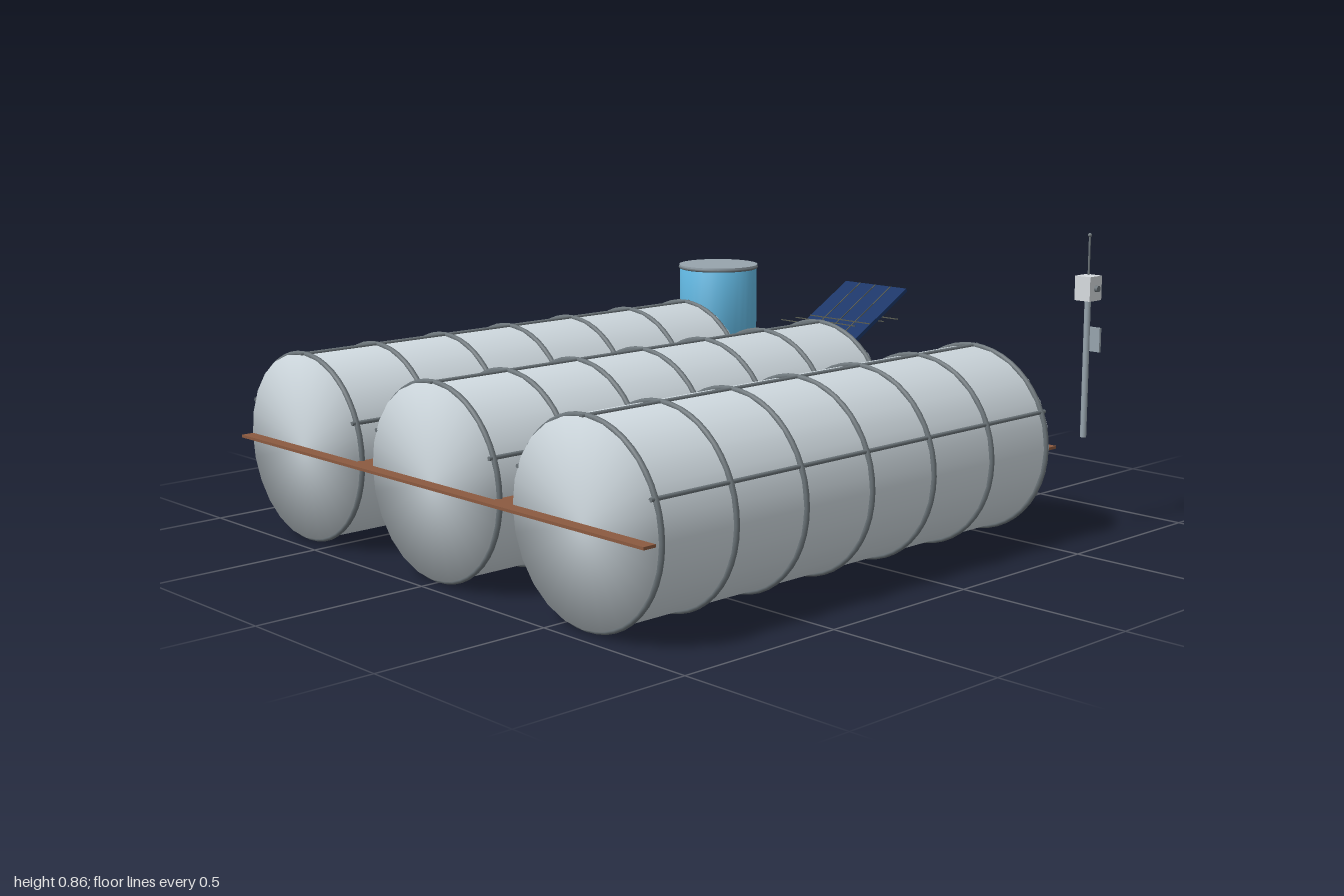
import * as THREE from 'three';
import { mergeVertices } from 'three/addons/utils/BufferGeometryUtils.js';

const paint = (name, color) => {
  const m = new THREE.MeshStandardMaterial({ color });
  m.name = name;
  return m;
};

// Share normals across the rims so that caps shade softly
const soften = (geo) => {
  geo.deleteAttribute('uv');
  geo.deleteAttribute('normal');
  const merged = mergeVertices(geo, 1e-4);
  merged.computeVertexNormals();
  return merged;
};

export function createModel() {
  const shell = paint('pale steel', 0xd0dae0);
  const frame = paint('dark steel', 0x6c757a);
  const wood = paint('brown deck', 0x8b5a40);
  const grey = paint('mid grey', 0x97a4ad);
  const blue = paint('tank blue', 0x62b8e2);
  const navy = paint('solar navy', 0x1b3668);
  const wire = paint('cell lines', 0x585b50);
  const white = paint('housing white', 0xd6dbdf);

  const model = new THREE.Group();
  model.name = 'habitat';

  const add = (parent, name, geo, mat, x = 0, y = 0, z = 0) => {
    const m = new THREE.Mesh(geo, mat);
    m.name = name;
    m.position.set(x, y, z);
    parent.add(m);
    return m;
  };
  const group = (name, x, y, z) => {
    const g = new THREE.Group();
    g.name = name;
    g.position.set(x, y, z);
    model.add(g);
    return g;
  };
  const box = (w, h, d) => new THREE.BoxGeometry(w, h, d);
  const rod = (r, h, n = 12) => new THREE.CylinderGeometry(r, r, h, n);

  // Three lying modules with hoops, long ribs and an end door
  const X0 = -0.962, X1 = 0.537, R = 0.263;
  const bodyGeo = soften(rod(R, X1 - X0, 24).rotateZ(Math.PI / 2));
  const hoopGeo = new THREE.TorusGeometry(0.264, 0.008, 8, 48).rotateY(Math.PI / 2);
  const ribGeo = rod(0.006, X1 - X0, 8).rotateZ(Math.PI / 2);
  for (const z of [-0.598, 0.002, 0.602]) {
    const unit = group('module', 0, 0.272, z);
    add(unit, 'moduleShell', bodyGeo, shell, (X0 + X1) / 2);
    for (let i = 0; i < 7; i++) add(unit, 'hoop', hoopGeo, frame, -0.946 + i * 0.2445);
    for (const deg of [23, 90, 157]) {
      const a = THREE.MathUtils.degToRad(deg);
      add(unit, 'rib', ribGeo, frame, (X0 + X1) / 2, Math.sin(a) * 0.264, Math.cos(a) * 0.264);
    }
    add(unit, 'door', box(0.02, 0.24, 0.184), grey, 0.532, 0.118, 0.006);
  }

  // Thin deck joining the modules
  add(model, 'deck', box(1.573, 0.008, 1.722), wood, -0.2135, 0.27, 0.002);

  // Water tank with hoops, lid and feed pipe
  const tank = group('waterTank', 0.817, -0.003, -0.746);
  add(tank, 'tankBody', soften(rod(0.131, 0.306, 32)), blue, 0, 0.468, 0);
  add(tank, 'tankLid', rod(0.134, 0.008, 40), grey, 0, 0.622, 0);
  const tankHoop = new THREE.TorusGeometry(0.131, 0.005, 8, 40).rotateX(Math.PI / 2);
  for (const y of [0.39, 0.617]) add(tank, 'tankHoop', tankHoop, frame, 0, y, 0);
  const pipePath = new THREE.LineCurve3(
    new THREE.Vector3(0.595, 0.332, -0.603), new THREE.Vector3(0.708, 0.332, -0.742));
  const pipe = add(model, 'pipe', rod(0.01, pipePath.getLength()), grey);
  pipe.position.copy(pipePath.getPoint(0.5));
  pipe.quaternion.setFromUnitVectors(new THREE.Vector3(0, 1, 0), pipePath.getTangent(0));

  // Tilted solar panel on a post
  const solar = group('solarPanel', 0.818, 0.483, -0.185);
  const tilt = new THREE.Group();
  tilt.name = 'panelTilt';
  tilt.rotation.z = THREE.MathUtils.degToRad(29.5);
  solar.add(tilt);
  add(tilt, 'panel', box(0.41, 0.012, 0.262), navy);
  for (const z of [-0.066, 0, 0.066]) add(tilt, 'cellLine', box(0.405, 0.003, 0.003), wire, 0, 0.0065, z);
  // Level cross wires
  for (let i = -2; i <= 2; i++) add(solar, 'crossWire', box(0.003, 0.003, 0.26), wire, i * 0.069, 0.009, 0);
  add(solar, 'panelPost', rod(0.01, 0.19), grey, 0, -0.113, 0);

  // Instrument mast
  const mast = group('mast', 0.723, 0, 0.847);
  add(mast, 'mastPole', rod(0.009, 0.4), grey, 0, 0.475, 0);
  add(mast, 'sensorHousing', box(0.056, 0.07, 0.052), white, 0, 0.707, 0);
  add(mast, 'lens', rod(0.009, 0.012, 16).rotateX(Math.PI / 2), frame, 0, 0.707, 0.03);
  add(mast, 'sidePlate', box(0.008, 0.07, 0.052), grey, 0.03, 0.556, 0);
  add(mast, 'antenna', rod(0.003, 0.112, 8), frame, 0, 0.8, 0);
  add(mast, 'antennaTip', new THREE.SphereGeometry(0.006, 12, 8), frame, 0, 0.857, 0);

  return model;
}
